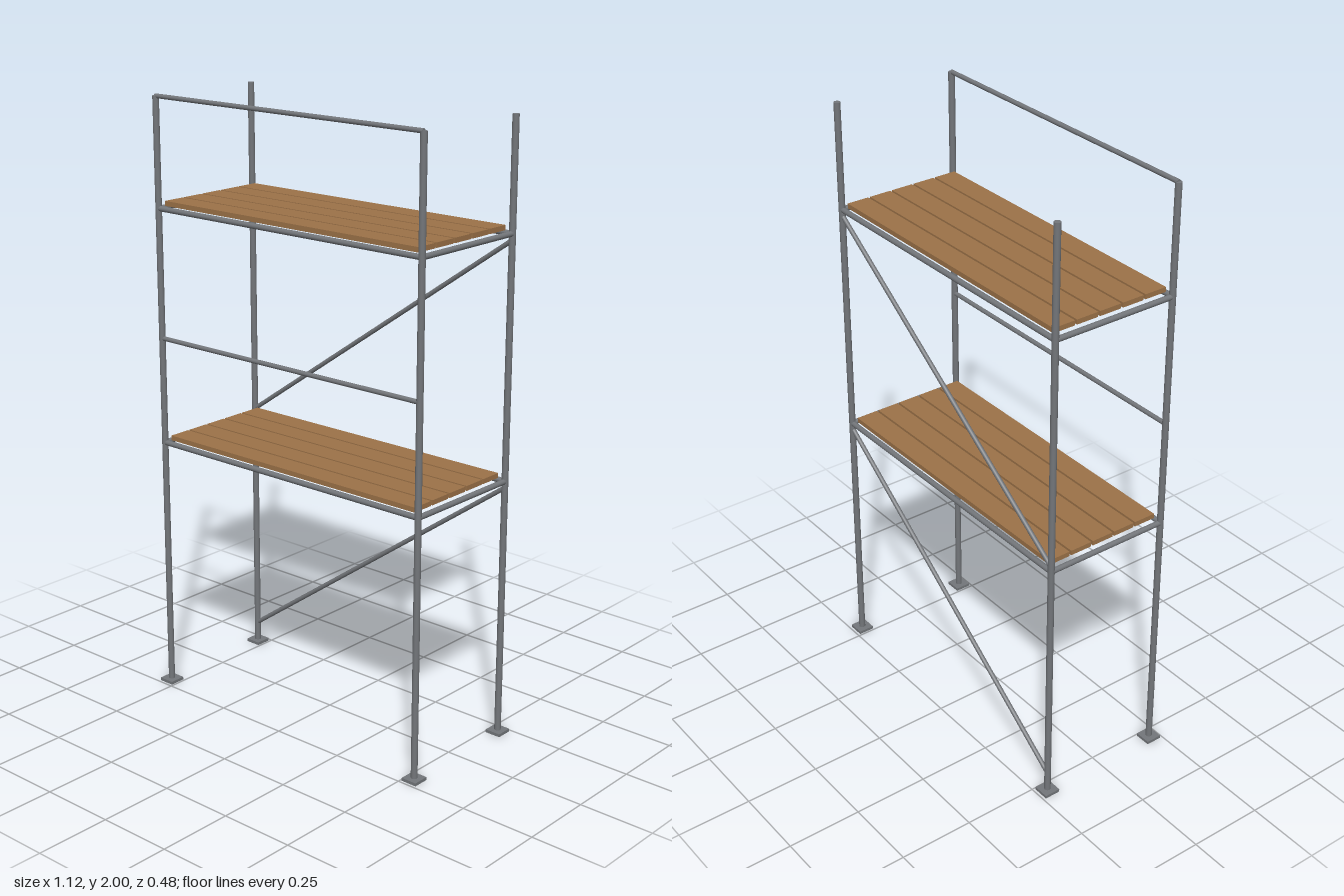
import * as THREE from 'three';

const X = 0.533, Z = 0.214;          // post positions
const DECKS = [0.859, 1.638];        // ledger heights
const POST_TOP = 1.993;

const steel = new THREE.MeshStandardMaterial({ color: 0x73767a });
steel.name = 'steel';
const wood = new THREE.MeshStandardMaterial({ color: 0x9c7248 });
wood.name = 'wood';

// Round tube between two points
function tube(name, a, b, radius) {
  const from = new THREE.Vector3(...a), to = new THREE.Vector3(...b);
  const dir = to.clone().sub(from);
  const mesh = new THREE.Mesh(new THREE.CylinderGeometry(radius, radius, dir.length(), 12), steel);
  mesh.position.copy(from).add(to).multiplyScalar(0.5);
  mesh.quaternion.setFromUnitVectors(new THREE.Vector3(0, 1, 0), dir.normalize());
  mesh.name = name;
  return mesh;
}

function box(name, size, position, material) {
  const mesh = new THREE.Mesh(new THREE.BoxGeometry(...size), material);
  mesh.position.set(...position);
  mesh.name = name;
  return mesh;
}

export function createModel() {
  const model = new THREE.Group();
  model.name = 'scaffold';

  // Posts standing on square base plates
  for (const x of [-X, X]) {
    for (const z of [-Z, Z]) {
      model.add(tube('post', [x, 0, z], [x, POST_TOP, z], 0.0107));
      model.add(box('basePlate', [0.054, 0.01, 0.054], [x, 0.005, z], steel));
    }
  }

  for (const y of DECKS) {
    const deck = new THREE.Group();
    deck.name = 'deck';

    // Frame of ledgers and end bearers
    for (const s of [-1, 1]) {
      deck.add(tube('ledger', [-X, y, s * Z], [X, y, s * Z], 0.009));
      deck.add(tube('endBearer', [s * X, y, -Z], [s * X, y, Z], 0.009));
    }

    // Five planks with narrow gaps
    for (let i = -2; i <= 2; i++) {
      deck.add(box('plank', [1.026, 0.016, 0.076], [0, y + 0.017, i * 0.0835], wood));
    }

    // Guard rail along the front
    deck.add(tube('guardRail', [-X, y + 0.354, Z], [X, y + 0.354, Z], 0.0075));
    model.add(deck);
  }

  // Diagonal braces across the back
  model.add(tube('brace', [-X, 0.074, -Z], [X, 0.838, -Z], 0.0075));
  model.add(tube('brace', [-X, 0.876, -Z], [X, 1.618, -Z], 0.0075));

  return model;
}
